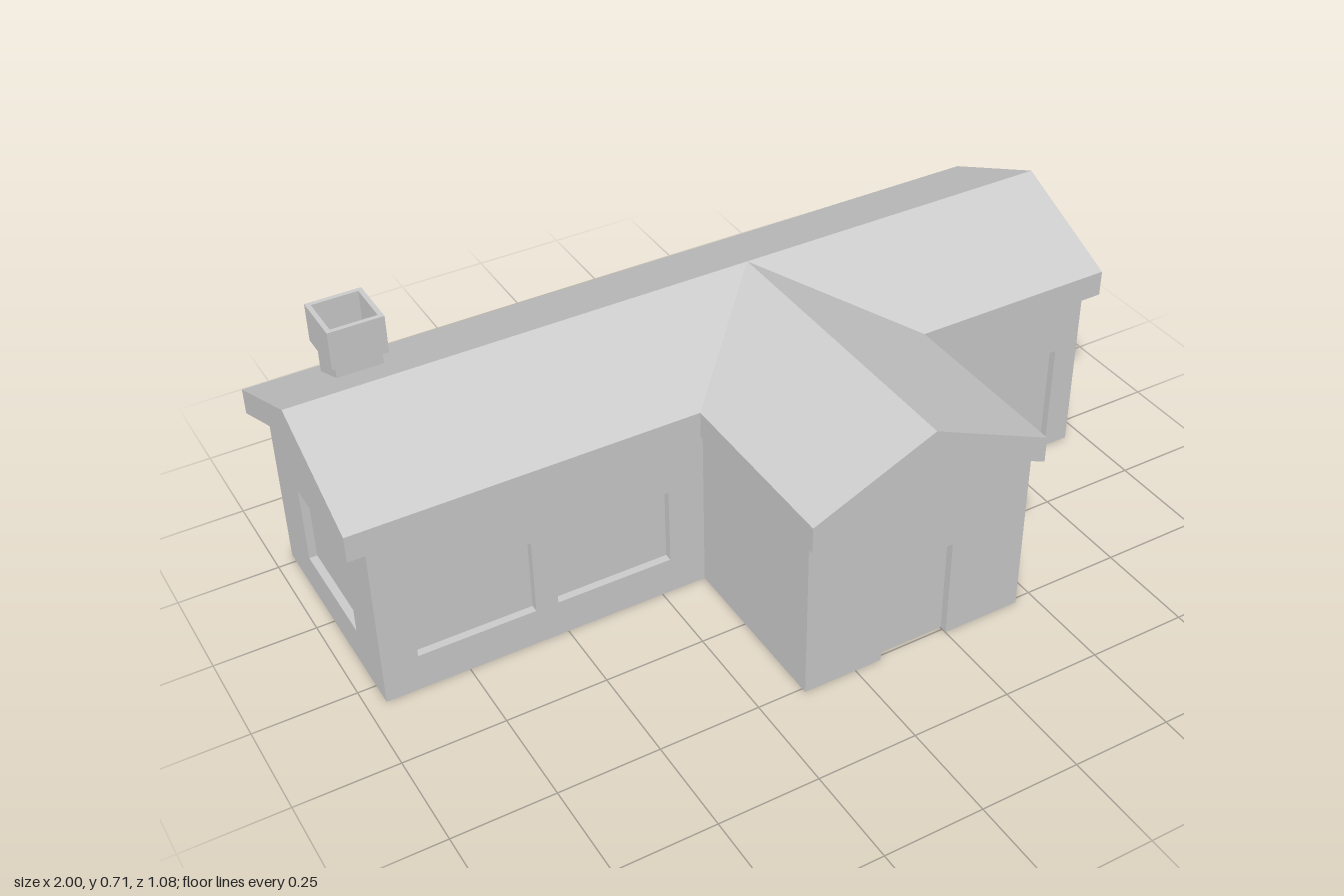
import * as THREE from 'three';

const material = new THREE.MeshStandardMaterial({ color: 0xcccccc, flatShading: true });
const RIDGE = 0.641, EAVE = 0.505, THICK = 0.067;  // roof heights and thickness
const ROOF_HALF = 0.306, WALL_HALF = 0.294;        // half spans of roof and walls
const SLOPE = (RIDGE - EAVE) / ROOF_HALF;
const RECESS = 0.02;                               // depth of windows and doors
const MAIN_Z = -0.234, MAIN_X = 0.955;             // main block ridge line, half length
const WING_X = 0.159, WING_Z = 0.512;              // wing ridge line, front wall

const underside = (d) => RIDGE - THICK - SLOPE * d;
const shapeOf = (pts) => new THREE.Shape(pts.map(([x, y]) => new THREE.Vector2(x, y)));

function add(parent, name, geometry, x = 0, y = 0, z = 0, turn = 0) {
  const mesh = new THREE.Mesh(geometry, material);
  mesh.name = name;
  mesh.position.set(x, y, z);
  mesh.rotation.y = turn;
  parent.add(mesh);
  return mesh;
}

// Extrusion whose outer face lies at z = 0 and runs back by depth
function slab(shape, depth) {
  return new THREE.ExtrudeGeometry(shape, { depth, bevelEnabled: false }).translate(0, 0, -depth);
}

// Outline with door notches in the base; top is flat, or rises to the roof when gabled
function wallPanel(x0, x1, { gable = false, doors = [], windows = [] } = {}) {
  const pts = [[x0, 0]];
  for (const [a, b, h] of doors) pts.push([a, 0], [a, h], [b, h], [b, 0]);
  pts.push([x1, 0]);
  if (gable) pts.push([x1, underside(x1)], [0, underside(0)], [x0, underside(-x0)]);
  else pts.push([x1, 0.45], [x0, 0.45]);
  const shape = shapeOf(pts);
  for (const [a, b] of windows) {
    const hole = shapeOf([[a, 0.098], [a, 0.3], [b, 0.3], [b, 0.098]]);
    shape.holes.push(hole);
  }
  return slab(shape, RECESS);
}

// Bent roof shell, ridge along z
function roofShell(length) {
  const h = ROOF_HALF, low = EAVE - THICK;
  return slab(shapeOf([[-h, low], [0, RIDGE - THICK], [h, low], [h, EAVE], [0, RIDGE], [-h, EAVE]]), length);
}

// Solid core behind the wall panels; its faces are the recessed panes
function core(length) {
  const w = WALL_HALF - RECESS;
  return slab(shapeOf([[-w, 0], [w, 0], [w, underside(w)], [0, underside(0)], [-w, underside(w)]]), length);
}

export function createModel() {
  const house = new THREE.Group();
  house.name = 'house';

  // Main block
  const main = new THREE.Group();
  main.name = 'mainBlock';
  house.add(main);
  const coreEnd = MAIN_X - RECESS;
  add(main, 'mainCore', core(2 * coreEnd), coreEnd, 0, MAIN_Z, Math.PI / 2);
  add(main, 'mainFrontWall', wallPanel(-MAIN_X, MAIN_X, {
    doors: [[0.524, 0.888, 0.299]],
    windows: [[-0.869, -0.577], [-0.521, -0.227]],
  }), 0, 0, MAIN_Z + WALL_HALF);
  add(main, 'mainBackWall', wallPanel(-MAIN_X, MAIN_X, {
    windows: [[-0.88, -0.587], [-0.532, -0.24], [0.24, 0.532], [0.587, 0.88]],
  }), 0, 0, MAIN_Z - WALL_HALF, Math.PI);
  const inner = WALL_HALF - RECESS;
  for (const side of [-1, 1]) {
    add(main, side > 0 ? 'leftGableWall' : 'rightGableWall',
      wallPanel(-inner, inner, { gable: true, windows: [[-0.146, 0.146]] }),
      side * MAIN_X, 0, MAIN_Z, side * Math.PI / 2);
  }
  add(main, 'mainRoof', roofShell(2), 1, 0, MAIN_Z, Math.PI / 2);

  // Front wing
  const wing = new THREE.Group();
  wing.name = 'frontWing';
  wing.position.x = WING_X;
  house.add(wing);
  const joint = MAIN_Z + WALL_HALF;
  const length = WING_Z - joint;
  add(wing, 'wingCore', core(length - RECESS), 0, 0, WING_Z - RECESS);
  add(wing, 'wingGableWall', wallPanel(-inner, inner, {
    gable: true, doors: [[-0.09, 0.092, 0.267]],
  }), 0, 0, WING_Z);
  for (const side of [-1, 1]) {
    add(wing, 'wingSideWall', wallPanel(-length / 2, length / 2),
      side * WALL_HALF, 0, joint + length / 2, side * Math.PI / 2);
  }
  add(wing, 'wingRoof', roofShell(0.544 - MAIN_Z), 0, 0, 0.544);

  // Chimney: square stack with an open, wider cap
  const chimney = new THREE.Group();
  chimney.name = 'chimney';
  chimney.position.set(-0.774, 0, -0.42);
  house.add(chimney);
  const stack = 0.113, cap = 0.136;
  add(chimney, 'chimneyStack', new THREE.BoxGeometry(stack, 0.096, stack), 0, 0.568, 0);
  const square = (s) => shapeOf([[-s, -s], [s, -s], [s, s], [-s, s]]);
  const ring = square(cap / 2);
  ring.holes.push(square(stack / 2));
  const capGeometry = slab(ring, 0.098).rotateX(-Math.PI / 2);
  add(chimney, 'chimneyCap', capGeometry, 0, 0.714, 0);

  return house;
}
